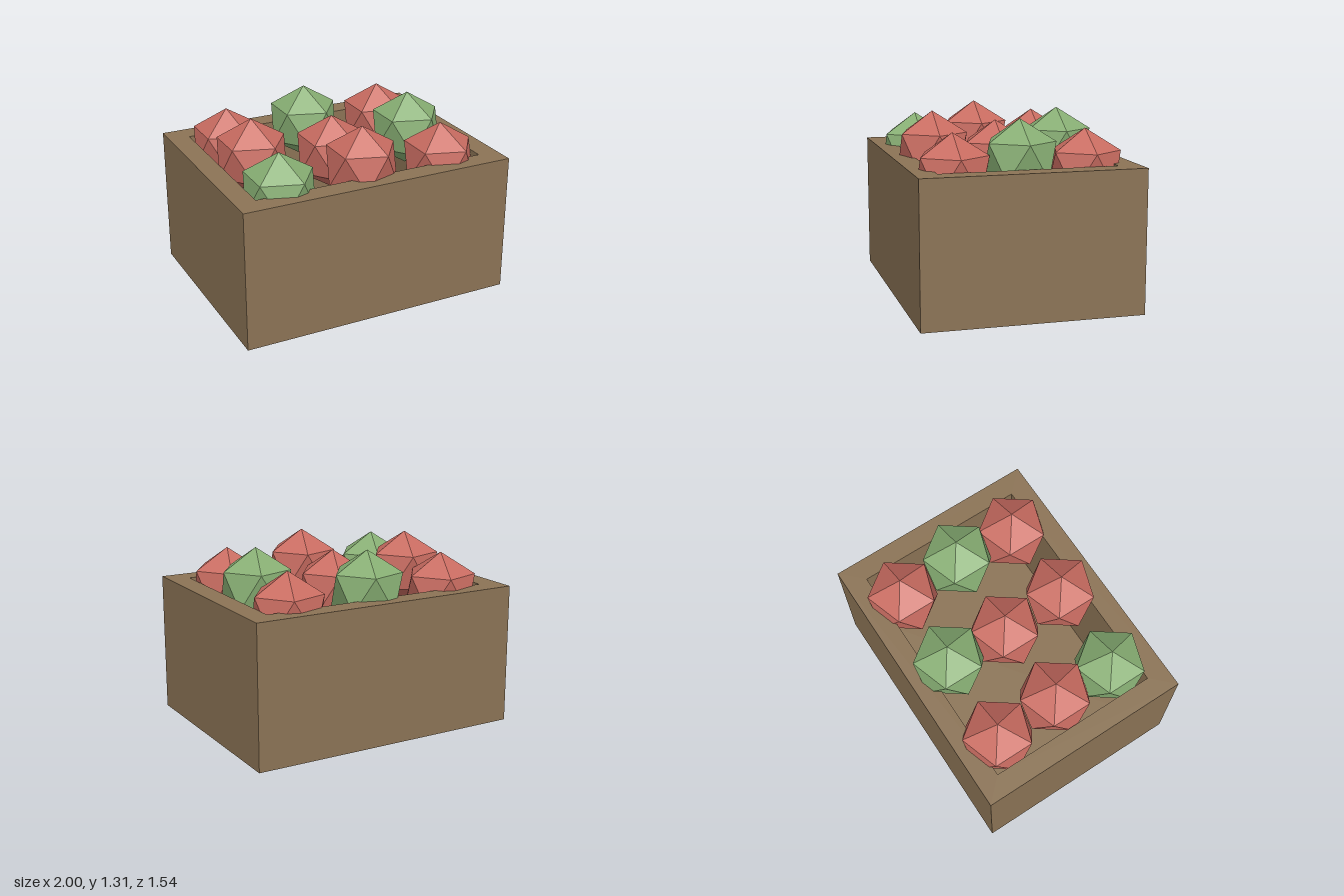
import * as THREE from 'three';

export function createModel() {
  const model = new THREE.Group();
  const wood = new THREE.MeshStandardMaterial({ color: 0x8b7355 });
  wood.name = 'wood';
  const red = new THREE.MeshStandardMaterial({ color: 0xc96c61 });
  red.name = 'red fruit';
  const green = new THREE.MeshStandardMaterial({ color: 0x87ae73 });
  green.name = 'green fruit';

  const add = (name, geometry, material, x = 0, y = 0, z = 0) => {
    const mesh = new THREE.Mesh(geometry, material);
    mesh.name = name;
    mesh.position.set(x, y, z);
    model.add(mesh);
  };
  const corners = (x, z) => [[-x, -z], [x, -z], [x, z], [-x, z]].map(p => new THREE.Vector2(...p));

  // Crate: four thick walls as one frame, closed by a floor
  const frame = new THREE.Shape(corners(1, 0.77));
  frame.holes.push(new THREE.Path(corners(0.85, 0.617).reverse()));
  const walls = new THREE.ExtrudeGeometry(frame, { depth: 1, bevelEnabled: false });
  walls.rotateX(-Math.PI / 2);
  add('crateWalls', walls, wood);
  add('crateFloor', new THREE.BoxGeometry(1.7, 0.15, 1.234), wood, 0, 0.075, 0);

  // Fruit: icosahedrons standing on a corner, corner fruits and the middle one sit lower
  const fruit = new THREE.IcosahedronGeometry(0.275, 0);
  fruit.rotateZ(-Math.atan(2 / (1 + Math.sqrt(5))));
  fruit.computeVertexNormals();
  const rows = ['rgr', 'rrg', 'grr']; // back to front, left to right along x
  rows.forEach((row, j) => [...row].forEach((c, i) => {
    const y = (i + j) % 2 ? 1.035 : 0.957;
    add(c === 'r' ? 'redFruit' : 'greenFruit', fruit, c === 'r' ? red : green,
      (i - 1) * 0.615, y, (j - 1) * 0.462);
  }));
  return model;
}
